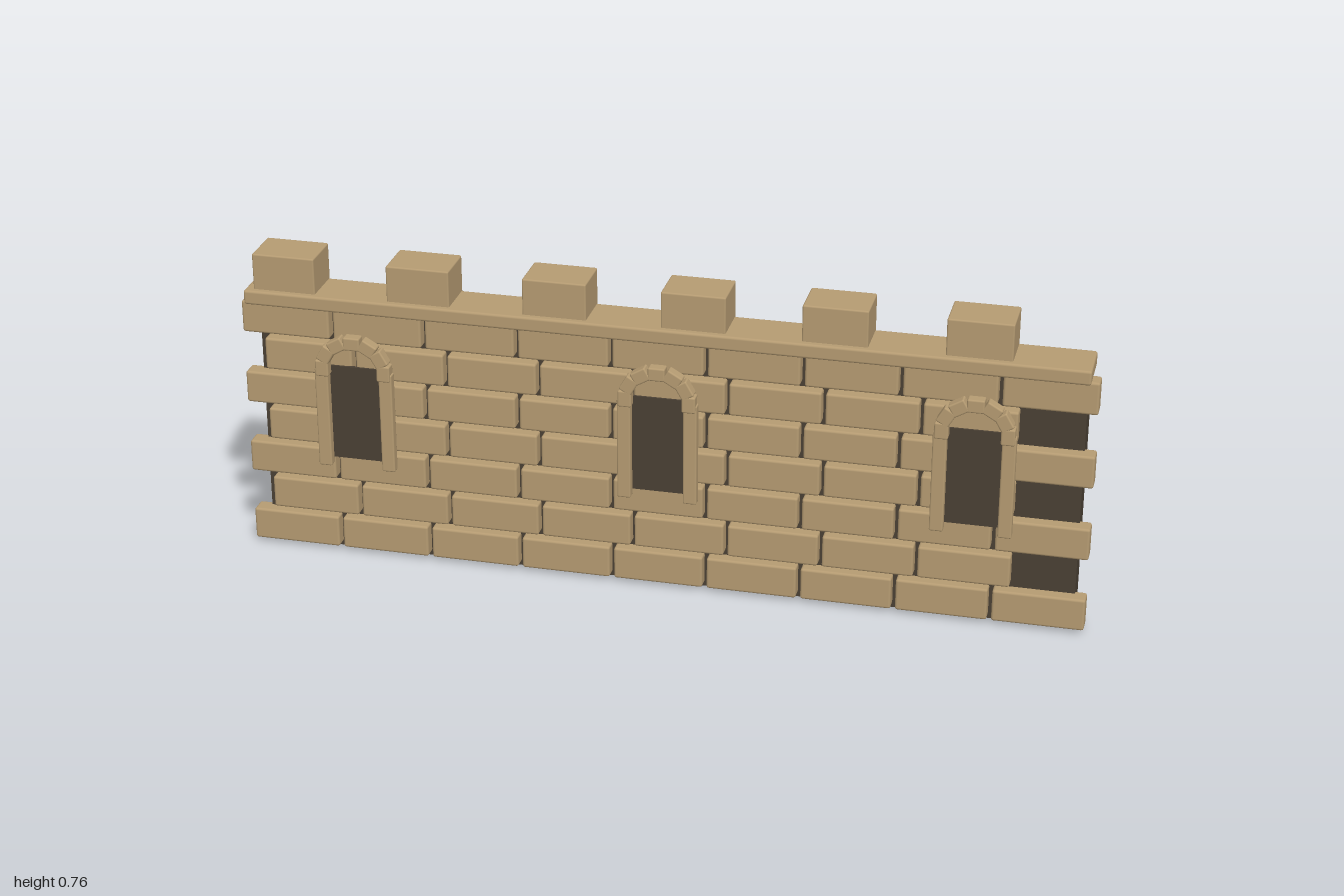
import * as THREE from 'three';
import { RoundedBoxGeometry } from 'three/addons/geometries/RoundedBoxGeometry.js';

const stone = new THREE.MeshStandardMaterial({ color: 0xb59b72 });
stone.name = 'sandstone';
const dark = new THREE.MeshStandardMaterial({ color: 0x4a4034 });
dark.name = 'dark mortar';

// Box with slightly worn edges, given by centre and size
function block(parent, name, [x, y, z], [w, h, d], radius = 0.006) {
  const mesh = new THREE.Mesh(new RoundedBoxGeometry(w, h, d, 2, radius), stone);
  mesh.name = name;
  mesh.position.set(x, y, z);
  parent.add(mesh);
  return mesh;
}

function darkBox(parent, name, [x, y, z], [w, h, d]) {
  const mesh = new THREE.Mesh(new THREE.BoxGeometry(w, h, d), dark);
  mesh.name = name;
  mesh.position.set(x, y, z);
  parent.add(mesh);
}

// Narrow window: dark pane, two jambs and an arch of small stones
function makeWindow() {
  const g = new THREE.Group();
  g.name = 'window';
  darkBox(g, 'windowPane', [0, 0.372, 0.036], [0.125, 0.237, 0.008]);
  for (const s of [-1, 1]) {
    block(g, 'windowJamb', [s * 0.078, 0.362, 0.047], [0.032, 0.25, 0.024], 0.004);
  }
  const count = 7;
  for (let i = 0; i < count; i++) {
    const a = (i / (count - 1)) * Math.PI;
    const voussoir = block(g, 'archStone',
      [Math.cos(a) * 0.075, 0.49 + Math.sin(a) * 0.068, 0.049], [0.032, 0.04, 0.028], 0.004);
    voussoir.rotation.z = a;
  }
  return g;
}

export function createModel() {
  const model = new THREE.Group();
  model.name = 'castleWall';

  // Mortar slab behind the masonry
  darkBox(model, 'backingWall', [0.004, 0.3325, -0.029], [1.938, 0.665, 0.068]);

  // Seven staggered courses of bricks; the odd ones stop short on the right
  const bricks = new THREE.Group();
  bricks.name = 'bricks';
  model.add(bricks);
  for (let row = 0; row < 7; row++) {
    const odd = row % 2 === 1;
    for (let i = 0; i < (odd ? 8 : 9); i++) {
      const x = odd ? -0.841 + i * 0.2228 : -0.8935 + i * 0.22338;
      block(bricks, 'brick', [x, 0.049 + row * 0.0905, 0.0135], [0.213, 0.079, 0.043]);
    }
  }

  // Windows
  for (const x of [-0.725, 0.003, 0.732]) {
    const w = makeWindow();
    w.position.x = x;
    model.add(w);
  }

  // Coping slab and battlements
  block(model, 'coping', [0, 0.6525, 0.003], [1.965, 0.035, 0.12]);
  for (let i = 0; i < 6; i++) {
    block(model, 'merlon', [-0.887 + i * 0.324, 0.7085, -0.0065], [0.15, 0.097, 0.108], 0.004);
  }
  return model;
}
